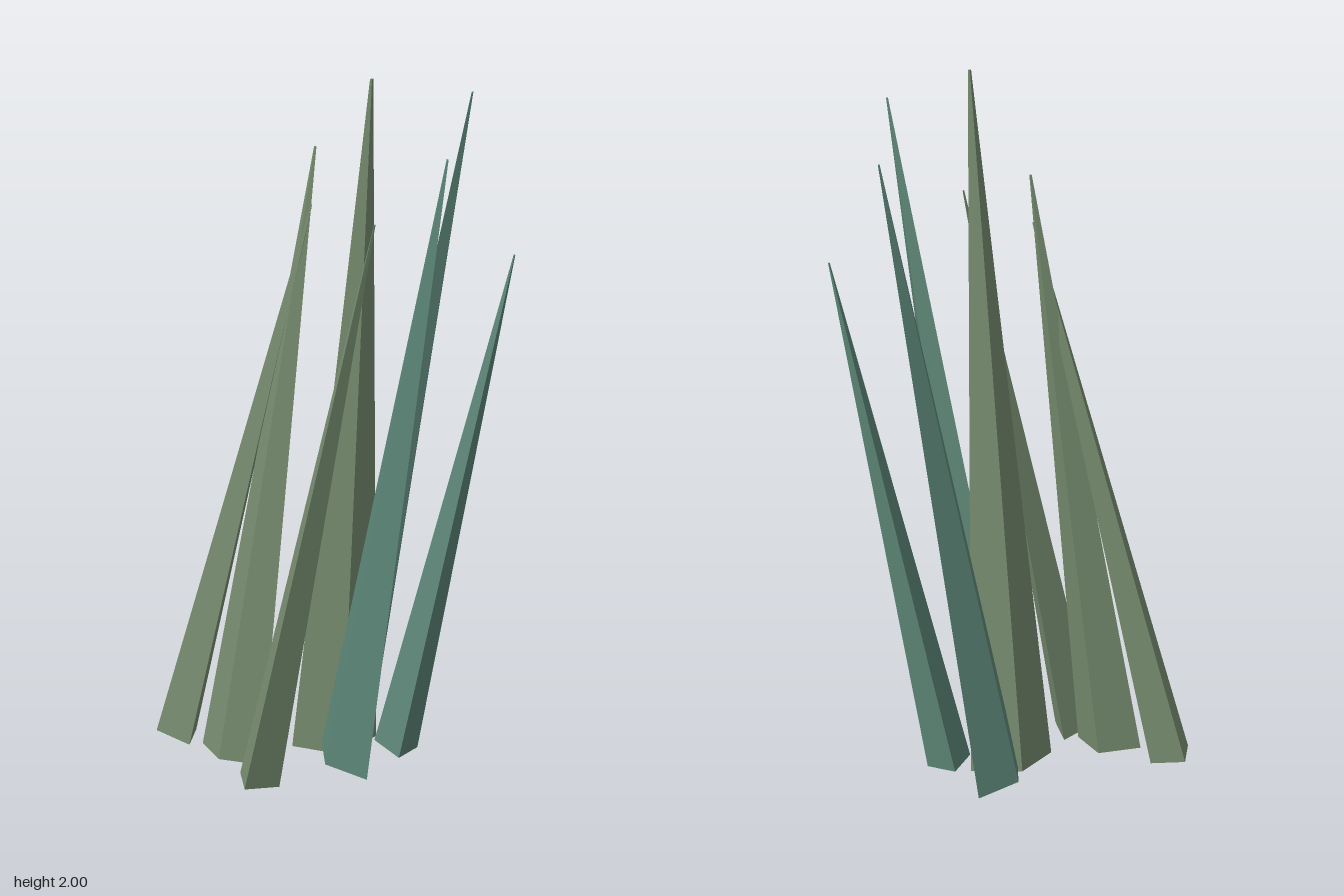
import * as THREE from 'three';

const sage = new THREE.MeshStandardMaterial({ color: 0x778d70, flatShading: true });
const teal = new THREE.MeshStandardMaterial({ color: 0x5d8778, flatShading: true });

// Four-sided tapering blade. p, q, r are three successive base corners as
// [x, z] (the fourth completes the rhombus), y the base height, tip the point.
function blade(name, material, p, q, r, y, tip) {
  const cx = (p[0] + r[0]) / 2, cz = (p[1] + r[1]) / 2;
  const axis = new THREE.Vector3(tip[0] - cx, tip[1] - y, tip[2] - cz);

  // Half diagonals of the base, tilted square to the blade's lean
  const diagonal = (dx, dz) =>
    new THREE.Vector3(dx, -(dx * axis.x + dz * axis.z) / axis.y, dz);
  const a = diagonal(p[0] - cx, p[1] - cz);
  const b = diagonal(q[0] - cx, q[1] - cz);
  if (a.x * b.z - a.z * b.x < 0) b.negate();

  const geometry = new THREE.CylinderGeometry(0.04, 1, 1, 4, 1);
  geometry.translate(0, 0.5, 0);
  geometry.applyMatrix4(new THREE.Matrix4().makeBasis(a, axis, b).setPosition(cx, y, cz));
  const mesh = new THREE.Mesh(geometry, material);
  mesh.name = name;
  return mesh;
}

export function createModel() {
  const group = new THREE.Group();
  group.name = 'grassTuft';
  group.add(
    // Tall middle blade
    blade('centreBlade', sage, [0.12, -0.08], [0, -0.148], [-0.115, -0.06], 0.02, [0.07, 2, 0.063]),
    // Sage blades on the right side
    blade('backRightBlade', sage, [-0.407, -0.289], [-0.45, -0.197], [-0.378, -0.13], 0.037, [-0.06, 1.59, -0.07]),
    blade('middleRightBlade', sage, [-0.342, -0.128], [-0.327, -0.017], [-0.221, 0.018], 0.022, [-0.042, 1.745, -0.098]),
    blade('frontRightBlade', sage, [-0.187, 0.034], [-0.291, 0.068], [-0.308, 0.178], 0.015, [0.058, 1.61, 0.14]),
    // Teal blades on the left side
    blade('backLeftBlade', teal, [0.16, -0.245], [0.04, -0.225], [0, -0.112], 0.027, [0.39, 1.85, -0.104]),
    blade('middleLeftBlade', teal, [0.168, -0.089], [0.099, -0.019], [0.142, 0.072], 0.022, [0.445, 1.47, 0.123]),
    blade('frontLeftBlade', teal, [-0.05, 0], [0.043, 0.08], [0.022, 0.195], 0.037, [0.22, 1.845, 0.283]),
  );
  return group;
}
